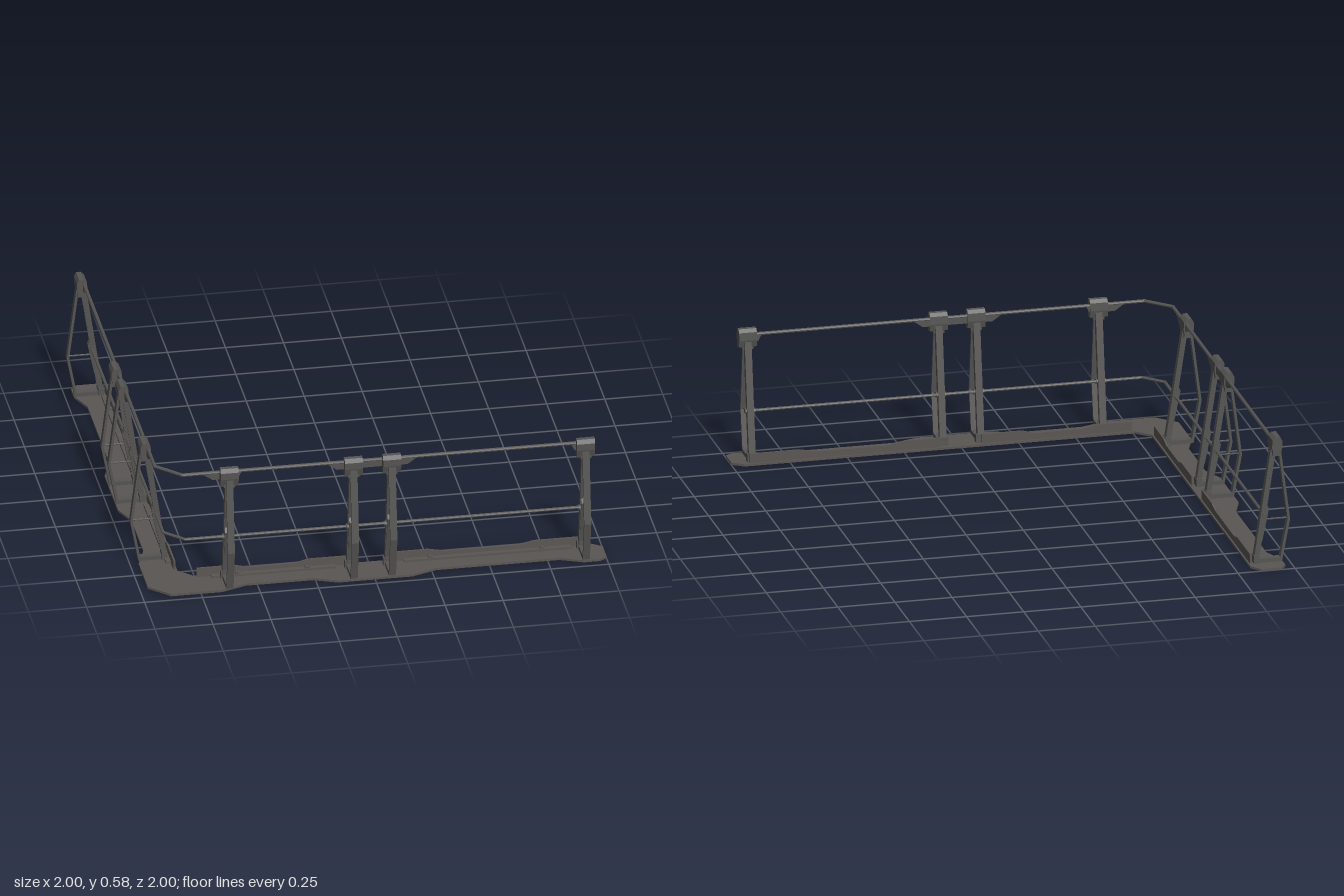
import * as THREE from 'three';

const steel = new THREE.MeshStandardMaterial({ color: 0x555453, flatShading: true, side: THREE.DoubleSide });
const plateMat = new THREE.MeshStandardMaterial({ color: 0x5a5653, flatShading: true, side: THREE.DoubleSide });

// One arm runs along x; the other is its reflection across the corner diagonal.
const swap = ([x, z]) => [-z, -x];
const swapMatrix = new THREE.Matrix4().set(0, 0, -1, 0, 0, 1, 0, 0, -1, 0, 0, 0, 0, 0, 0, 1);

function mirrored(geometry) {
  const g = geometry.clone().toNonIndexed().applyMatrix4(swapMatrix);
  // Reverse the corner order so that faces still look outwards
  const p = g.attributes.position;
  const a = new THREE.Vector3(), b = new THREE.Vector3();
  for (let i = 0; i < p.count; i += 3) {
    a.fromBufferAttribute(p, i + 1);
    b.fromBufferAttribute(p, i + 2);
    p.setXYZ(i + 1, b.x, b.y, b.z);
    p.setXYZ(i + 2, a.x, a.y, a.z);
  }
  g.computeVertexNormals();
  return g;
}

const shapeOf = (pts) => new THREE.Shape(pts.map(([x, y]) => new THREE.Vector2(x, y)));
const extrude = (pts, depth) => new THREE.ExtrudeGeometry(shapeOf(pts), { depth, bevelEnabled: false });

// Box given by its limits
function block(x0, x1, y0, y1, z0, z1) {
  return new THREE.BoxGeometry(x1 - x0, y1 - y0, z1 - z0)
    .translate((x0 + x1) / 2, (y0 + y1) / 2, (z0 + z1) / 2);
}

// Cross-section in (z, y), drawn out along x around a centre
function section(pts, x, width) {
  return extrude(pts, width).translate(0, 0, -width / 2).rotateY(-Math.PI / 2).translate(x, 0, 0);
}

// Flat bar between two (z, y) points
function bar([z0, y0], [z1, y1], x, width, thick) {
  const len = Math.hypot(z1 - z0, y1 - y0);
  return new THREE.BoxGeometry(width, len, thick)
    .rotateX(Math.atan2(z1 - z0, y1 - y0))
    .translate(x, (y0 + y1) / 2, (z0 + z1) / 2);
}

// Round bar between two points
function rod(a, b, radius, sides = 8) {
  const A = new THREE.Vector3(...a), B = new THREE.Vector3(...b);
  const dir = B.clone().sub(A);
  const q = new THREE.Quaternion().setFromUnitVectors(new THREE.Vector3(0, 1, 0), dir.clone().normalize());
  return new THREE.CylinderGeometry(radius, radius, dir.length(), sides)
    .applyQuaternion(q)
    .translate((A.x + B.x) / 2, (A.y + B.y) / 2, (A.z + B.z) / 2);
}

export function createModel() {
  const model = new THREE.Group();
  model.name = 'cornerRailing';
  const add = (parent, name, geometry, material = steel) => {
    const mesh = new THREE.Mesh(geometry, material);
    mesh.name = name;
    parent.add(mesh);
  };

  // L-shaped floor plate, outline mirrored across the diagonal
  const half = [
    [-0.88, 0.965], [-0.66, 0.965], [-0.55, 0.925], [-0.26, 0.925], [-0.16, 0.965], [0.16, 0.965],
    [0.27, 0.925], [0.8, 0.925], [0.9, 0.965], [0.97, 0.965], [1, 0.945], [1, 0.85], [0.95, 0.815], [-0.755, 0.815],
  ];
  const outline = [...half, ...half.map(swap).reverse()];
  add(model, 'floorPlate', extrude(outline, 0.01).rotateX(Math.PI / 2).translate(0, 0.01, 0), plateMat);

  const posts = [-0.625, -0.09, 0.075, 0.91];
  const topY = 0.553, topZ = 0.925, midY = 0.224, midZ = 0.885;

  for (const isLeft of [false, true]) {
    const arm = new THREE.Group();
    arm.name = isLeft ? 'sideArm' : 'frontArm';
    model.add(arm);
    const put = (name, g, mat) => add(arm, name, isLeft ? mirrored(g) : g, mat);

    // A-frame posts
    for (const x of posts) {
      put('innerLeg', bar([0.845, 0.02], [0.922, 0.53], x, 0.03, 0.015));
      for (const s of [-1, 1])
        put('innerLegFlange', bar([0.851, 0.02], [0.927, 0.52], x + s * 0.0125, 0.005, 0.018));
      put('outerLegLower', bar([0.957, 0.015], [0.992, 0.2], x, 0.03, 0.011));
      put('outerLegUpper', bar([0.992, 0.195], [0.948, 0.54], x, 0.03, 0.011));
      put('crossBrace', rod([x, 0.2, 0.875], [x, 0.2, 0.99], 0.004, 6));
      put('footBar', block(x - 0.015, x + 0.015, 0.01, 0.028, 0.845, 0.962));
      put('footPad', block(x - 0.022, x + 0.022, 0.01, 0.045, 0.838, 0.862));
      put('midBracket', section([[0.862, 0.11], [0.877, 0.11], [0.906, 0.25], [0.896, 0.27], [0.881, 0.24]], x, 0.022));
      put('railCollar', rod([x - 0.022, midY, midZ], [x + 0.022, midY, midZ], 0.012));
      // Clamp at the head of the post
      put('headClamp', section([
        [0.918, 0.5], [0.948, 0.495], [0.957, 0.53], [0.957, 0.56], [0.948, 0.578],
        [0.928, 0.578], [0.914, 0.565], [0.912, 0.53],
      ], x, 0.078));
      put('headSocket', block(x - 0.024, x + 0.024, 0.488, 0.505, 0.918, 0.95));
    }

    // Gussets beneath the top rail: [inner end, direction]
    for (const [x, d] of [[-0.655, -1], [-0.6, 1], [-0.12, -1], [0.105, 1], [0.88, -1]]) {
      const r = d * ((x === -0.6 || x === 0.88) ? 0.03 : 0.08);
      put('railGusset', extrude([[x, 0.522], [x + r * 0.5, 0.522], [x + r, 0.55], [x, 0.556]], 0.014)
        .translate(0, 0, topZ - 0.007));
    }
    put('linkPlate', block(-0.06, 0.045, 0.522, 0.552, topZ - 0.007, topZ + 0.007));

    // Straight rails
    put('topRail', rod([-0.825, topY, topZ], [0.94, topY, topZ], 0.008));
    put('midRail', rod([-0.805, midY, midZ], [0.915, midY, midZ], 0.007));

    // Toe boards with a lowered middle, a ledge and fixing tabs
    for (const [x0, x1, dip0, dip1, r] of [[-0.745, -0.09, -0.53, -0.32, 0.055], [0.085, 0.925, 0.32, 0.64, 0.07]]) {
      put('toeBoard', extrude([
        [x0, 0.01], [x1, 0.01], [x1, 0.052], [dip1 + r, 0.052], [dip1, 0.038],
        [dip0, 0.038], [dip0 - r, 0.052], [x0, 0.052],
      ], 0.008).translate(0, 0, 0.822), plateMat);
      put('toeLedge', block(x0 + 0.06, x1 - 0.06, 0.01, 0.02, 0.83, 0.852), plateMat);
    }
    for (const x of [-0.57, -0.27, 0.26, 0.74])
      put('fixingTab', block(x - 0.01, x + 0.01, 0.01, 0.026, 0.83, 0.848));
  }

  // Rails cut across the corner
  for (const [name, x, y, z, r] of [['topCornerRail', -0.825, topY, topZ, 0.008], ['midCornerRail', -0.805, midY, midZ, 0.007]]) {
    const [mx, mz] = swap([x, z]);
    add(model, name, rod([x, y, z], [mx, y, mz], r));
    for (const [jx, jz] of [[x, z], [mx, mz]])
      add(model, 'railElbow', new THREE.SphereGeometry(r, 8, 6).translate(jx, y, jz));
  }
  return model;
}
